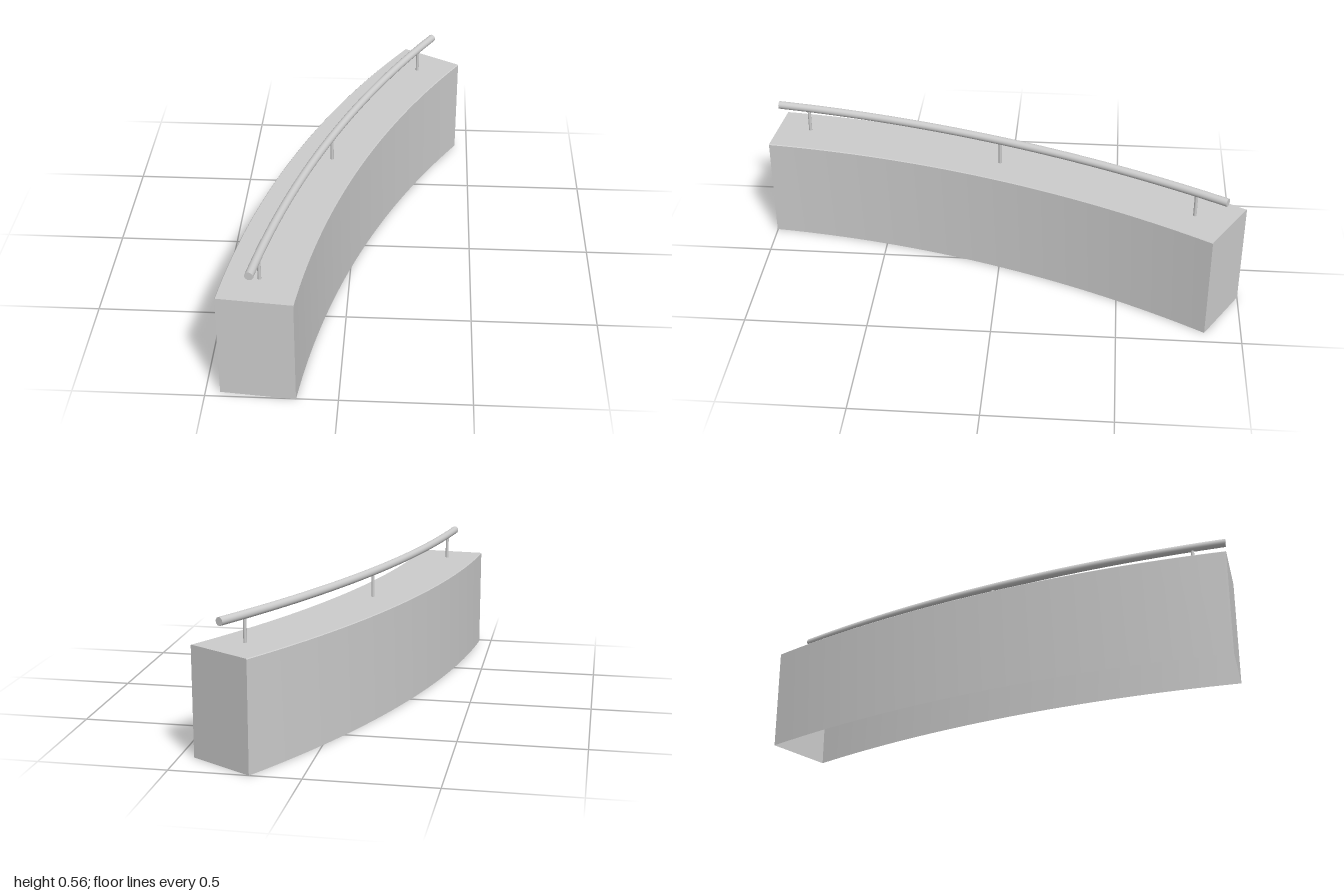
import * as THREE from 'three';

// Plan arc shared by the wall and handrail
const CX = 4.278, CZ = 1.414;
const A0 = THREE.MathUtils.degToRad(5.3), A1 = THREE.MathUtils.degToRad(30.6);
const R_OUT = 4.743, R_IN = 4.455, HEIGHT = 0.437, BEVEL = 0.003;
const SEGMENTS = 32;

const onArc = (r, y, a) => new THREE.Vector3(CX - r * Math.cos(a), y, CZ - r * Math.sin(a));

// Handrail radius along the arc: it drifts slightly across the wall top
function railPoint(deg, y) {
  const t = (deg - 5.4) / 25;
  return onArc(4.614 - 0.093 * t + 0.07 * t * t, y, THREE.MathUtils.degToRad(deg));
}

// Curved wall: open-bottomed profile swept along the arc, with hard edges between strips
function wallGeometry() {
  const profile = [
    [R_OUT, 0], [R_OUT, HEIGHT - BEVEL], [R_OUT - BEVEL, HEIGHT],
    [R_IN + BEVEL, HEIGHT], [R_IN, HEIGHT - BEVEL], [R_IN, 0],
  ];
  const positions = [], index = [];
  const push = (p, a) => positions.push(...onArc(p[0], p[1], a).toArray());

  for (let k = 0; k < profile.length - 1; k++) {
    const base = positions.length / 3;
    for (let i = 0; i <= SEGMENTS; i++) {
      const a = A0 + (A1 - A0) * i / SEGMENTS;
      push(profile[k], a);
      push(profile[k + 1], a);
      if (i < SEGMENTS) {
        const n = base + i * 2;
        index.push(n, n + 1, n + 3, n, n + 3, n + 2);
      }
    }
  }
  // End faces
  for (const [a, flip] of [[A0, true], [A1, false]]) {
    const base = positions.length / 3;
    profile.forEach(p => push(p, a));
    for (let k = 1; k < profile.length - 1; k++) {
      index.push(base, base + (flip ? k + 1 : k), base + (flip ? k : k + 1));
    }
  }
  const g = new THREE.BufferGeometry();
  g.setAttribute('position', new THREE.Float32BufferAttribute(positions, 3));
  g.setIndex(index);
  g.computeVertexNormals();
  return g;
}

export function createModel() {
  const model = new THREE.Group();
  model.name = 'curvedWallWithHandrail';
  const grey = new THREE.MeshStandardMaterial({ color: 0xcccccc, side: THREE.DoubleSide });
  grey.name = 'light grey';

  const add = (name, geometry, parent = model) => {
    const mesh = new THREE.Mesh(geometry, grey);
    mesh.name = name;
    parent.add(mesh);
    return mesh;
  };

  add('wall', wallGeometry());

  // Handrail tube with flat ends
  const rail = new THREE.Group();
  rail.name = 'handrail';
  model.add(rail);
  const RAIL_Y = 0.5435, RAIL_R = 0.0165;
  const points = [];
  for (let i = 0; i <= 16; i++) points.push(railPoint(5.4 + 25 * i / 16, RAIL_Y));
  const curve = new THREE.CatmullRomCurve3(points);
  add('railTube', new THREE.TubeGeometry(curve, 48, RAIL_R, 20), rail);
  for (const [t, sign] of [[0, -1], [1, 1]]) {
    const cap = add('railEnd', new THREE.CircleGeometry(RAIL_R, 20), rail);
    cap.position.copy(curve.getPoint(t));
    cap.lookAt(cap.position.clone().addScaledVector(curve.getTangent(t), sign));
  }

  // Support posts
  for (const deg of [7.06, 17.9, 28.73]) {
    const h = RAIL_Y - HEIGHT;
    const post = add('railPost', new THREE.CylinderGeometry(0.0068, 0.0068, h, 16), rail);
    post.position.copy(railPoint(deg, HEIGHT + h / 2));
  }
  return model;
}
